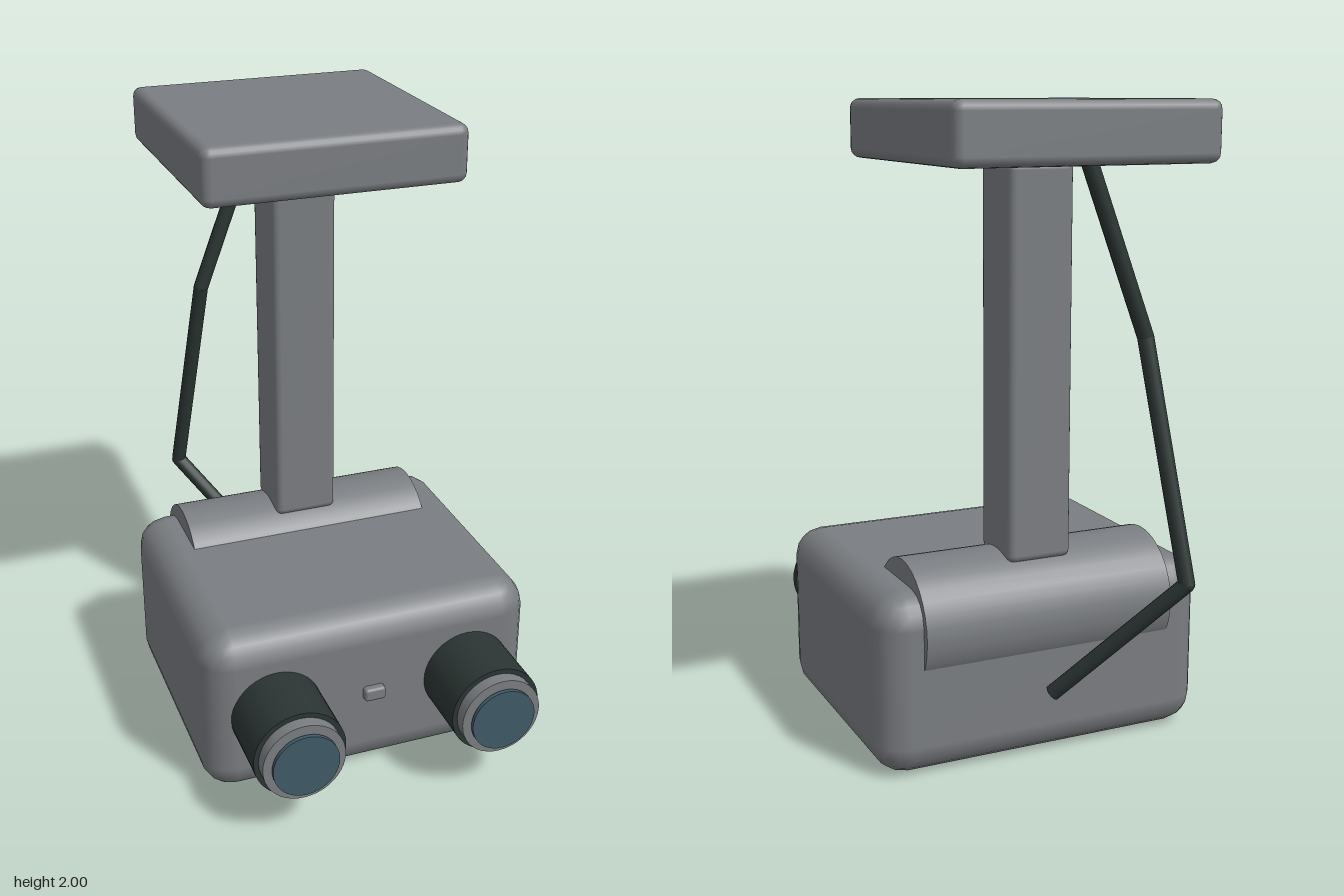
import * as THREE from 'three';
import { RoundedBoxGeometry } from 'three/addons/geometries/RoundedBoxGeometry.js';

const material = (name, color) => {
  const m = new THREE.MeshStandardMaterial({ color });
  m.name = name;
  return m;
};

export function createModel() {
  const grey = material('grey casing', 0x7a7d81);
  const dark = material('dark rubber', 0x2b3533);
  const glass = material('blue glass', 0x3f5a66);
  const model = new THREE.Group();
  model.name = 'sensorHead';

  const add = (name, geometry, mat, x, y, z, parent = model) => {
    const mesh = new THREE.Mesh(geometry, mat);
    mesh.name = name;
    mesh.position.set(x, y, z);
    parent.add(mesh);
    return mesh;
  };
  const box = (name, w, h, d, r, x, y, z) =>
    add(name, new RoundedBoxGeometry(w, h, d, 2, r), grey, x, y, z);

  // Casing, neck and mounting plate
  box('body', 1.1, 0.57, 0.91, 0.1, 0, 0.285, 0.015);
  box('neck', 0.21, 1.21, 0.21, 0.022, 0, 1.215, -0.267);
  box('mountPlate', 0.83, 0.18, 0.835, 0.03, 0, 1.91, -0.268);
  box('frontButton', 0.07, 0.045, 0.06, 0.01, 0, 0.29, 0.465);

  // Hinge barrel lying across the back of the body
  const hinge = new THREE.CylinderGeometry(0.2, 0.2, 0.83, 32).rotateZ(Math.PI / 2);
  add('hinge', hinge, grey, 0, 0.44, -0.265);

  // Lenses: each section runs from z0 to z1
  const section = (name, r, z0, z1, mat, parent) => add(name,
    new THREE.CylinderGeometry(r, r, z1 - z0, 40).rotateX(Math.PI / 2),
    mat, 0, 0, (z0 + z1) / 2, parent);
  for (const side of [-1, 1]) {
    const lens = new THREE.Group();
    lens.name = side > 0 ? 'leftLens' : 'rightLens';
    lens.position.set(side * 0.323, 0.29, 0);
    section('lensBarrel', 0.147, 0.44, 0.69, dark, lens);
    section('lensRing', 0.131, 0.68, 0.73, grey, lens);
    section('glassSeat', 0.095, 0.725, 0.74, dark, lens);
    section('lensGlass', 0.105, 0.737, 0.75, glass, lens);
    model.add(lens);
  }

  // Cable: straight runs with rounded joints
  const cable = new THREE.Group();
  cable.name = 'cable';
  model.add(cable);
  const points = [[0, 0.21, -0.46], [-0.305, 0.6, -0.725], [-0.235, 1.32, -0.575], [-0.04, 1.83, -0.575]]
    .map((p) => new THREE.Vector3(...p));
  const up = new THREE.Vector3(0, 1, 0);
  for (let i = 0; i < points.length - 1; i++) {
    const a = points[i];
    const run = points[i + 1].clone().sub(a);
    const mid = a.clone().addScaledVector(run, 0.5);
    const mesh = add('cableRun', new THREE.CylinderGeometry(0.025, 0.025, run.length(), 12),
      dark, mid.x, mid.y, mid.z, cable);
    mesh.quaternion.setFromUnitVectors(up, run.normalize());
    if (i > 0) add('cableJoint', new THREE.SphereGeometry(0.025, 12, 8), dark, a.x, a.y, a.z, cable);
  }
  return model;
}
